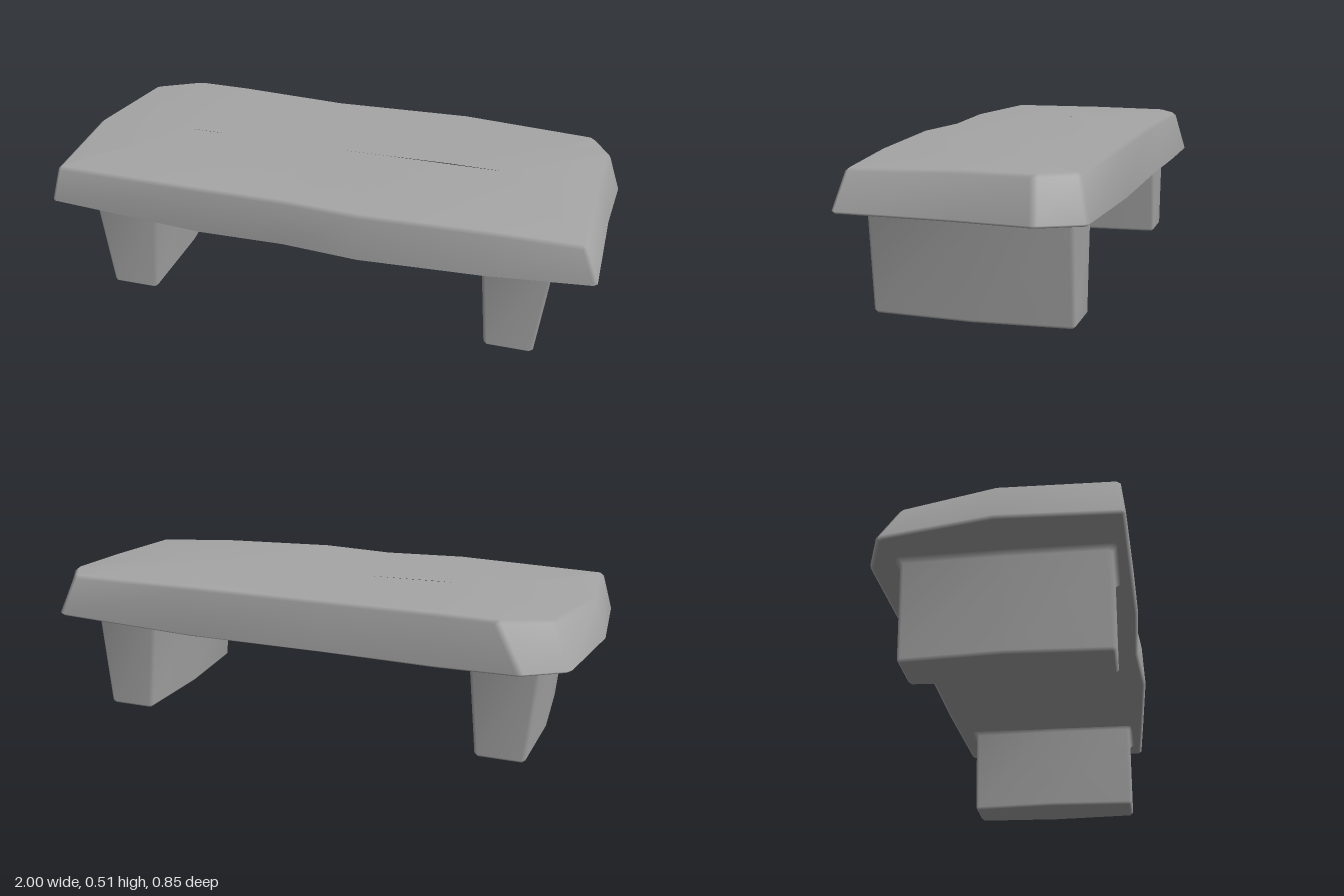
import * as THREE from 'three';
import { mergeVertices } from 'three/addons/utils/BufferGeometryUtils.js';

// Seat edge, counter-clockwise from above: lower x, lower z, lower y, upper x, upper z, upper y, corner cut
const EDGE = [
  [-0.98, 0.39, 0.36, -0.945, 0.378, 0.503, 0.012],
  [-0.4, 0.41, 0.337, -0.4, 0.402, 0.513, 0],
  [-0.1, 0.402, 0.335, -0.1, 0.393, 0.507, 0],
  [0.17, 0.424, 0.335, 0.17, 0.416, 0.51, 0],
  [0.6, 0.405, 0.338, 0.6, 0.39, 0.503, 0],
  [0.96, 0.39, 0.357, 0.91, 0.365, 0.487, 0.012],
  [0.975, 0, 0.357, 0.935, 0, 0.5, 0],
  [1, -0.25, 0.357, 0.955, -0.24, 0.502, 0.012],
  [0.93, -0.395, 0.357, 0.885, -0.36, 0.503, 0.012],
  [0.4, -0.4, 0.337, 0.4, -0.388, 0.513, 0],
  [-0.1, -0.402, 0.335, -0.1, -0.376, 0.508, 0],
  [-0.5, -0.418, 0.338, -0.5, -0.393, 0.513, 0],
  [-0.785, -0.428, 0.345, -0.7, -0.398, 0.512, 0.012],
  [-0.935, -0.368, 0.357, -0.87, -0.318, 0.508, 0.012],
  [-1, 0, 0.36, -0.957, 0, 0.503, 0],
];

// Replace each marked corner by two points a short way along its edges
function cutCorners(ring, cuts) {
  const out = [];
  ring.forEach((p, i) => {
    const cut = cuts[i];
    if (!cut) return out.push(p.clone());
    for (const q of [ring.at(i - 1), ring[(i + 1) % ring.length]]) {
      out.push(p.clone().lerp(q, cut / p.distanceTo(q)));
    }
  });
  return out;
}

// Move a ring inward by d and up by dy
function inset(ring, d, dy) {
  return ring.map((p, i) => {
    const t = ring[(i + 1) % ring.length].clone().sub(ring.at(i - 1)).setY(0).normalize();
    return new THREE.Vector3(p.x + t.z * d, p.y + dy, p.z - t.x * d);
  });
}

// Skin rings listed from bottom to top; area-weighted normals keep the big faces flat
function loft(rings) {
  const n = rings[0].length;
  const index = [];
  for (let r = 0; r < rings.length - 1; r++) {
    for (let i = 0; i < n; i++) {
      const a = r * n + i, b = r * n + (i + 1) % n;
      index.push(a, b, b + n, a, b + n, a + n);
    }
  }
  let geometry = new THREE.BufferGeometry().setFromPoints(rings.flat());
  geometry.setIndex(index);
  geometry = mergeVertices(geometry, 1e-5);
  geometry.computeVertexNormals();
  return geometry;
}

function seatGeometry() {
  const cuts = EDGE.map((e) => e[6]);
  const lower = cutCorners(EDGE.map((e) => new THREE.Vector3(e[0], e[2], e[1])), cuts);
  const upper = cutCorners(EDGE.map((e) => new THREE.Vector3(e[3], e[5], e[4])), cuts);
  // Both caps close on a line along the middle of the seat
  const spine = (ring, height) => ring.map((p) => {
    const x = THREE.MathUtils.clamp(p.x, -0.6, 0.6);
    return new THREE.Vector3(x, height(x), 0);
  });
  return loft([
    spine(lower, () => 0.336),
    inset(lower, 0.012, -0.003).map((p) => p.setY(Math.max(p.y, 0.335))),
    lower.map((p) => p.clone().setY(p.y + 0.006)),
    inset(upper, 0, -0.011),
    inset(upper, 0.014, 0),
    spine(upper, (x) => 0.51 - 0.003 * Math.cos((x + 0.05) * 7)),
  ]);
}

// Leg: rectangular at the top, tapering to a six-sided foot that is widest mid-depth
function legGeometry() {
  const section = (y, end, middle, grow = 0) => cutCorners([
    [-end, 0.343 + grow], [end, 0.343 + grow], [middle, 0.01],
    [end, -0.32 - grow], [-end, -0.32 - grow], [-middle, 0.01],
  ].map(([x, z]) => new THREE.Vector3(x, y, z)), [0.012, 0.012, 0, 0.012, 0.012, 0]);
  const foot = section(0.01, 0.086, 0.104);
  const sole = inset(foot, 0.01, -0.01);
  return loft([
    sole.map((p) => new THREE.Vector3(0, 0, THREE.MathUtils.clamp(p.z, -0.22, 0.24))),
    sole,
    foot,
    section(0.325, 0.116, 0.12),
    section(0.34, 0.13, 0.134, 0.015),
  ]);
}

export function createModel() {
  const stone = new THREE.MeshStandardMaterial({ color: 0xa6a6a6 });
  stone.name = 'grey stone';
  const model = new THREE.Group();
  model.name = 'stone bench';

  const seat = new THREE.Mesh(seatGeometry(), stone);
  seat.name = 'seat';
  model.add(seat);

  const leg = legGeometry();
  for (const [name, x] of [['rightLeg', -0.715], ['leftLeg', 0.697]]) {
    const mesh = new THREE.Mesh(leg, stone);
    mesh.name = name;
    mesh.position.x = x;
    model.add(mesh);
  }
  return model;
}
